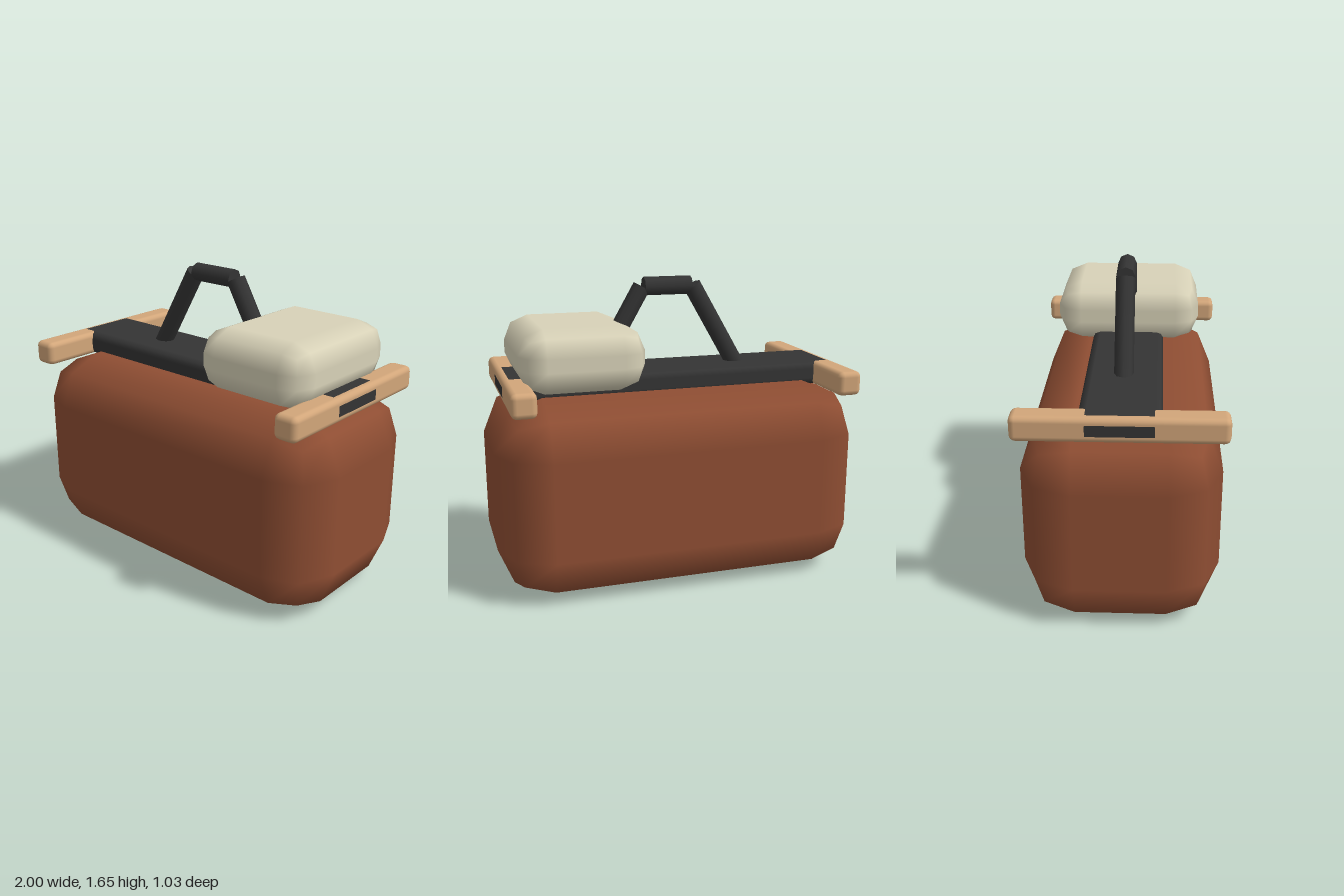
import * as THREE from 'three';
import { RoundedBoxGeometry } from 'three/addons/geometries/RoundedBoxGeometry.js';

const material = (name, color) => {
  const m = new THREE.MeshStandardMaterial({ color });
  m.name = name;
  return m;
};

export function createModel() {
  const group = new THREE.Group();
  const leather = material('brown leather', 0x8f4e33);
  const dark = material('dark grey', 0x343434);
  const wood = material('light wood', 0xd2a67a);
  const cream = material('cream fabric', 0xd8d2b8);

  const add = (name, geometry, mat, x, y, z) => {
    const mesh = new THREE.Mesh(geometry, mat);
    mesh.name = name;
    mesh.position.set(x, y, z);
    group.add(mesh);
    return mesh;
  };
  const box = (name, mat, size, segments, radius, x, y, z) =>
    add(name, new RoundedBoxGeometry(...size, segments, radius), mat, x, y, z);

  // Cylinder between two points in the x-y plane
  const rod = (name, x1, y1, x2, y2) => {
    const dir = new THREE.Vector3(x2 - x1, y2 - y1, 0);
    const mesh = add(name, new THREE.CylinderGeometry(0.05, 0.05, dir.length(), 8), dark,
      (x1 + x2) / 2, (y1 + y2) / 2, 0);
    mesh.quaternion.setFromUnitVectors(new THREE.Vector3(0, 1, 0), dir.normalize());
  };

  // Bag body and the bar along its top
  box('bagBody', leather, [2, 1.07, 1], 1, 0.27, 0, 0.535, 0);
  box('topBar', dark, [1.862, 0.132, 0.4], 1, 0.04, 0, 1.105, 0);

  // Wooden cross bars at both ends and the handle legs
  for (const side of [-1, 1]) {
    const prefix = side > 0 ? 'left' : 'right';
    box(prefix + 'CrossBar', wood, [0.13, 0.13, 1.03], 2, 0.03, side * 0.865, 1.105, 0);
    rod(prefix + 'HandleLeg', side * 0.42, 1.12, side * 0.143, 1.6);
  }
  rod('handleGrip', -0.132, 1.602, 0.132, 1.602);

  // Cushion resting on the left end
  box('cushion', cream, [0.66, 0.335, 0.8], 1, 0.133, 0.53, 1.27, 0);

  return group;
}
